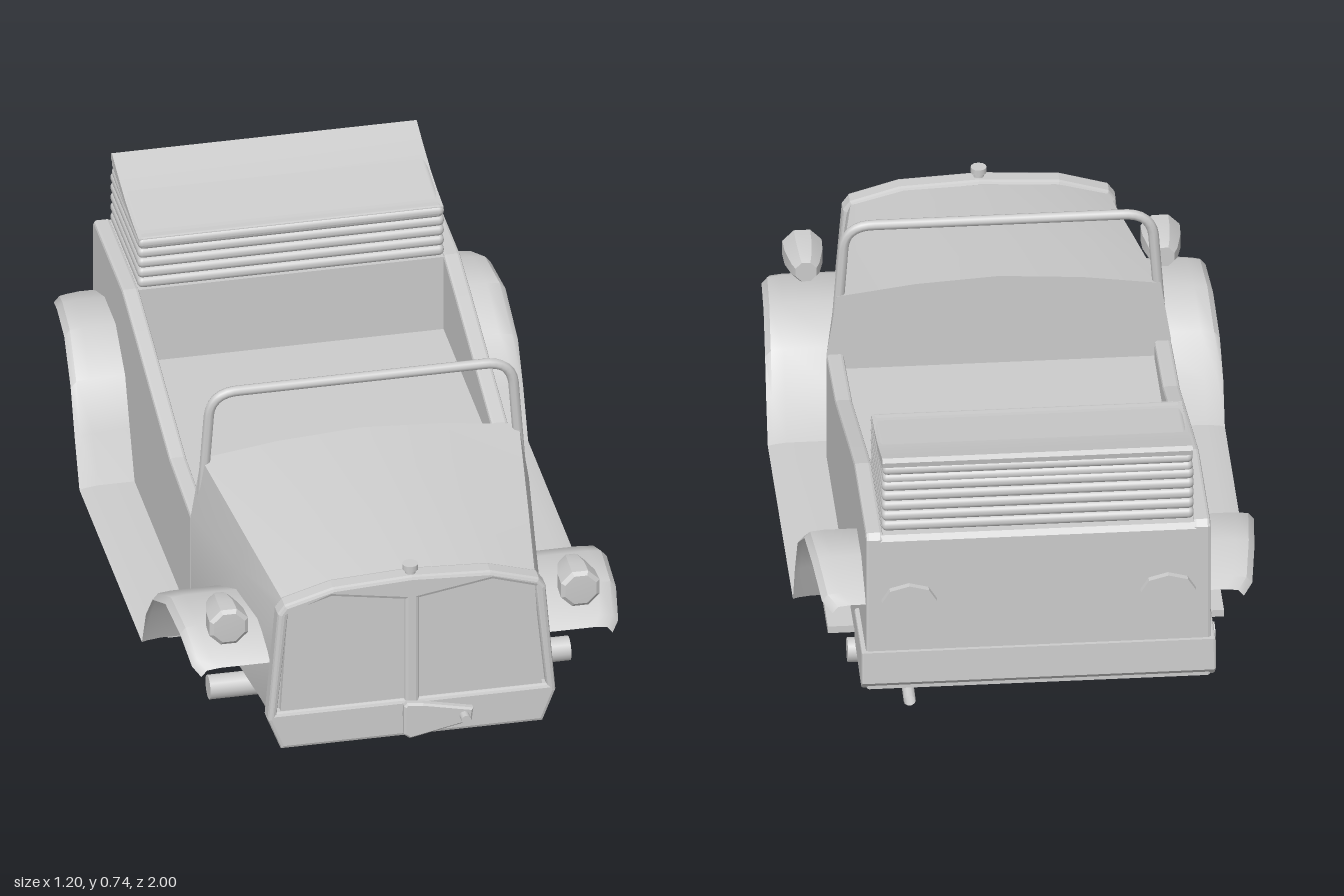
import * as THREE from 'three';
import { toCreasedNormals } from 'three/addons/utils/BufferGeometryUtils.js';
import { RoundedBoxGeometry } from 'three/addons/geometries/RoundedBoxGeometry.js';

const grey = new THREE.MeshStandardMaterial({ color: 0xcccccc });
const sheet = new THREE.MeshStandardMaterial({ color: 0xcccccc, side: THREE.DoubleSide });

export function createModel() {
  const car = new THREE.Group();

  function add(name, geo, x = 0, y = 0, z = 0, mat = grey) {
    const mesh = new THREE.Mesh(geo, mat);
    mesh.name = name;
    mesh.position.set(x, y, z);
    car.add(mesh);
    return mesh;
  }
  const shapeOf = (pts) => new THREE.Shape(pts.map((p) => new THREE.Vector2(...p)));
  const mirrored = (half) => [...half, ...half.slice().reverse().filter((p) => p[0] > 0).map(([x, y]) => [-x, y])];

  // Extrude a (z, y) side profile across x, centred on x = 0
  function sideExtrude(pts, width, bevel = 0) {
    const geo = new THREE.ExtrudeGeometry(shapeOf(pts), {
      depth: width - 2 * bevel, bevelEnabled: bevel > 0, bevelThickness: bevel,
      bevelSize: bevel, bevelOffset: -bevel, bevelSegments: 2,
    });
    geo.translate(0, 0, -width / 2 + bevel);
    return geo.rotateY(-Math.PI / 2);
  }

  // Skin a list of point rings; closed rings also get end caps
  function loft(rings, closed, crease) {
    const n = rings[0].length, index = [];
    for (let i = 0; i < rings.length - 1; i++) {
      for (let j = 0; j < (closed ? n : n - 1); j++) {
        const k = (j + 1) % n, a = i * n + j, b = i * n + k;
        index.push(a, a + n, b + n, a, b + n, b);
      }
    }
    const last = (rings.length - 1) * n;
    for (let j = 1; closed && j < n - 1; j++) index.push(0, j, j + 1, last, last + j + 1, last + j);
    const geo = new THREE.BufferGeometry();
    geo.setAttribute('position', new THREE.Float32BufferAttribute(rings.flat(2), 3));
    geo.setIndex(index);
    return toCreasedNormals(geo, crease);
  }

  // Hood, widening from the grille to the cowl
  const hoodRing = (z, t, bottom) => {
    const mix = (a, b) => a + (b - a) * t;
    return mirrored([
      [mix(0.335, 0.42), bottom],
      [mix(0.375, 0.452), mix(0.11, 0.12)],
      [mix(0.345, 0.452), mix(0.41, 0.35)],
      [mix(0.335, 0.425), mix(0.435, 0.52)],
      [mix(0.2, 0.22), mix(0.472, 0.548)],
      [0, mix(0.48, 0.562)],
    ]).map(([x, y]) => [x, y, z]);
  };
  add('hood', loft([hoodRing(0.9, 0, 0.012), hoodRing(0.61, 0.47, 0.06), hoodRing(0.27, 1, 0.012)], true, 0.5));

  // Grille surround with two recessed panels
  const grille = shapeOf(mirrored([
    [0.35, 0.01], [0.385, 0.1], [0.358, 0.42], [0.34, 0.445], [0.21, 0.483], [0, 0.494],
  ]));
  for (const s of [1, -1]) {
    const panel = [[0.02, 0.12], [0.36, 0.12], [0.33, 0.422], [0.215, 0.458], [0.02, 0.425]];
    grille.holes.push(new THREE.Path(panel.map(([x, y]) => new THREE.Vector2(s * x, y))));
  }
  const bevelled = { depth: 0.035, bevelThickness: 0.01, bevelSize: 0.01, bevelOffset: -0.01, bevelSegments: 2 };
  add('grilleSurround', new THREE.ExtrudeGeometry(grille, bevelled), 0, 0, 0.885);
  add('grillePanels', new THREE.ExtrudeGeometry(shapeOf(mirrored([
    [0.35, 0.11], [0.33, 0.43], [0.21, 0.465], [0, 0.465],
  ])), { depth: 0.03, bevelEnabled: false }), 0, 0, 0.888);
  add('radiatorCap', new THREE.CylinderGeometry(0.021, 0.021, 0.016, 12), 0, 0.513, 0.905);
  add('radiatorNeck', new THREE.CylinderGeometry(0.014, 0.014, 0.04, 12), 0, 0.49, 0.905);

  // Cockpit floor and tail block in one section, then the side walls
  add('floorAndTail', sideExtrude([
    [0.28, 0.012], [0.28, 0.3], [-0.6, 0.3], [-0.6, 0.52], [-0.965, 0.52], [-0.975, 0.505],
    [-0.975, 0.06], [-0.75, 0.06], [-0.58, 0.012],
  ].reverse(), 0.84));
  for (const s of [1, -1]) {
    add('sideWall', sideExtrude([
      [0.27, 0.012], [0.27, 0.345], [0, 0.365], [-0.45, 0.488], [-0.6, 0.526], [-0.96, 0.526],
      [-0.975, 0.51], [-0.975, 0.06], [-0.75, 0.06], [-0.58, 0.012],
    ].reverse(), 0.045, 0.008), s * 0.43);
  }
  add('underPlate', new THREE.BoxGeometry(1.04, 0.02, 0.88), 0, 0.012, -0.14);
  add('rearSkirt', sideExtrude([
    [-0.75, 0.085], [-0.75, 0.175], [-0.985, 0.175], [-0.99, 0.085], [-0.965, 0.06],
  ].reverse(), 0.93, 0.006));

  // Windshield frame
  const frame = new THREE.CurvePath();
  const v = (x, y) => new THREE.Vector3(x, y, 0.285);
  frame.add(new THREE.LineCurve3(v(-0.425, 0.42), v(-0.408, 0.65)));
  frame.add(new THREE.QuadraticBezierCurve3(v(-0.408, 0.65), v(-0.405, 0.724), v(-0.33, 0.724)));
  frame.add(new THREE.LineCurve3(v(-0.33, 0.724), v(0.33, 0.724)));
  frame.add(new THREE.QuadraticBezierCurve3(v(0.33, 0.724), v(0.405, 0.724), v(0.408, 0.65)));
  frame.add(new THREE.LineCurve3(v(0.408, 0.65), v(0.425, 0.42)));
  add('windshieldFrame', new THREE.TubeGeometry(frame, 80, 0.014, 8));

  // Fenders and running board as one sheet per side: z, y, inner x, outer x
  const fenderLine = [
    [0.865, 0.24, 0.34, 0.55], [0.84, 0.26, 0.34, 0.57], [0.75, 0.308, 0.35, 0.583], [0.6, 0.312, 0.37, 0.59],
    [0.47, 0.25, 0.39, 0.597], [0.4, 0.15, 0.4, 0.6], [0.35, 0.036, 0.41, 0.6], [-0.44, 0.036, 0.42, 0.6],
    [-0.5, 0.16, 0.42, 0.6], [-0.56, 0.29, 0.42, 0.598], [-0.68, 0.376, 0.42, 0.59], [-0.82, 0.376, 0.42, 0.58],
    [-0.93, 0.33, 0.42, 0.565], [-0.965, 0.312, 0.42, 0.54],
  ];
  for (const s of [1, -1]) {
    const rings = fenderLine.map(([z, y, xi, xo]) => {
      const drop = y > 0.2 ? 0.022 : 0.008;
      const across = [[xo, y - drop], [xo - 0.015, y - 0.004], [xo - 0.05, y], [xi, y]];
      const ring = across.map(([x, h]) => [s * x, h, z]);
      return s > 0 ? ring : ring.reverse();
    });
    add('fender', loft(rings, false, 0.7), 0, 0, 0, sheet);

    // Eight-sided headlight
    const lamp = new THREE.LatheGeometry(
      [[0, -0.07], [0.03, -0.07], [0.04, -0.05], [0.054, 0.01], [0.056, 0.06], [0.045, 0.068], [0, 0.07]]
        .map((p) => new THREE.Vector2(...p)), 8, Math.PI / 8);
    lamp.rotateX(Math.PI / 2);
    add('headlight', toCreasedNormals(lamp, 0.4), s * 0.47, 0.343, 0.772);

    // Flattened tail lamp
    const tail = new THREE.CylinderGeometry(0.05, 0.05, 0.03, 8).rotateX(Math.PI / 2).scale(1.45, 0.95, 1);
    add('tailLamp', toCreasedNormals(tail, 0.4), s * 0.34, 0.33, -0.978);
  }

  // Axles
  for (const z of [0.63, -0.735]) {
    add('axle', new THREE.CylinderGeometry(0.033, 0.033, 0.965, 16).rotateZ(Math.PI / 2), 0, 0.041, z);
  }

  // Folded soft top: level folds, fanned folds and the lid
  for (let i = 0; i < 5; i++) {
    add('softTopFold', new RoundedBoxGeometry(0.82, 0.031, 0.365, 3, 0.0145), 0, 0.54 + i * 0.03, -0.777);
  }
  for (let i = 1; i <= 2; i++) {
    const fold = add('softTopFold', new RoundedBoxGeometry(0.815, 0.03, 0.36, 3, 0.0145), 0, 0.655 + i * 0.013, -0.775);
    fold.rotation.x = i * 0.072;
  }
  add('softTopLid', toCreasedNormals(sideExtrude([
    [-0.6, 0.655], [-0.6, 0.674], [-0.68, 0.679], [-0.77, 0.692], [-0.86, 0.714], [-0.94, 0.738],
    [-0.953, 0.73], [-0.95, 0.715], [-0.8, 0.68],
  ].reverse(), 0.815), 0.5));

  // Starting crank
  const arm = shapeOf([[-0.03, 0.04], [-0.015, 0.028], [0.15, 0.062], [0.155, 0.1], [0.02, 0.13], [-0.022, 0.135], [-0.03, 0.125]]);
  add('crankArm', new THREE.ExtrudeGeometry(arm, {
    depth: 0.014, bevelThickness: 0.005, bevelSize: 0.005, bevelOffset: -0.005, bevelSegments: 1,
  }), 0, 0, 0.957);
  add('crankHub', new THREE.CylinderGeometry(0.028, 0.028, 0.06, 12).rotateX(Math.PI / 2), 0, 0.082, 0.94);
  add('crankHandle', new THREE.CylinderGeometry(0.013, 0.013, 0.035, 12).rotateX(Math.PI / 2), 0.13, 0.082, 0.983);

  // Exhaust pipe
  const pipe = new THREE.LineCurve3(new THREE.Vector3(0.34, 0.058, -0.8), new THREE.Vector3(0.34, 0.033, -0.997));
  add('exhaustPipe', new THREE.TubeGeometry(pipe, 1, 0.016, 10), 0, 0, 0, sheet);

  return car;
}
